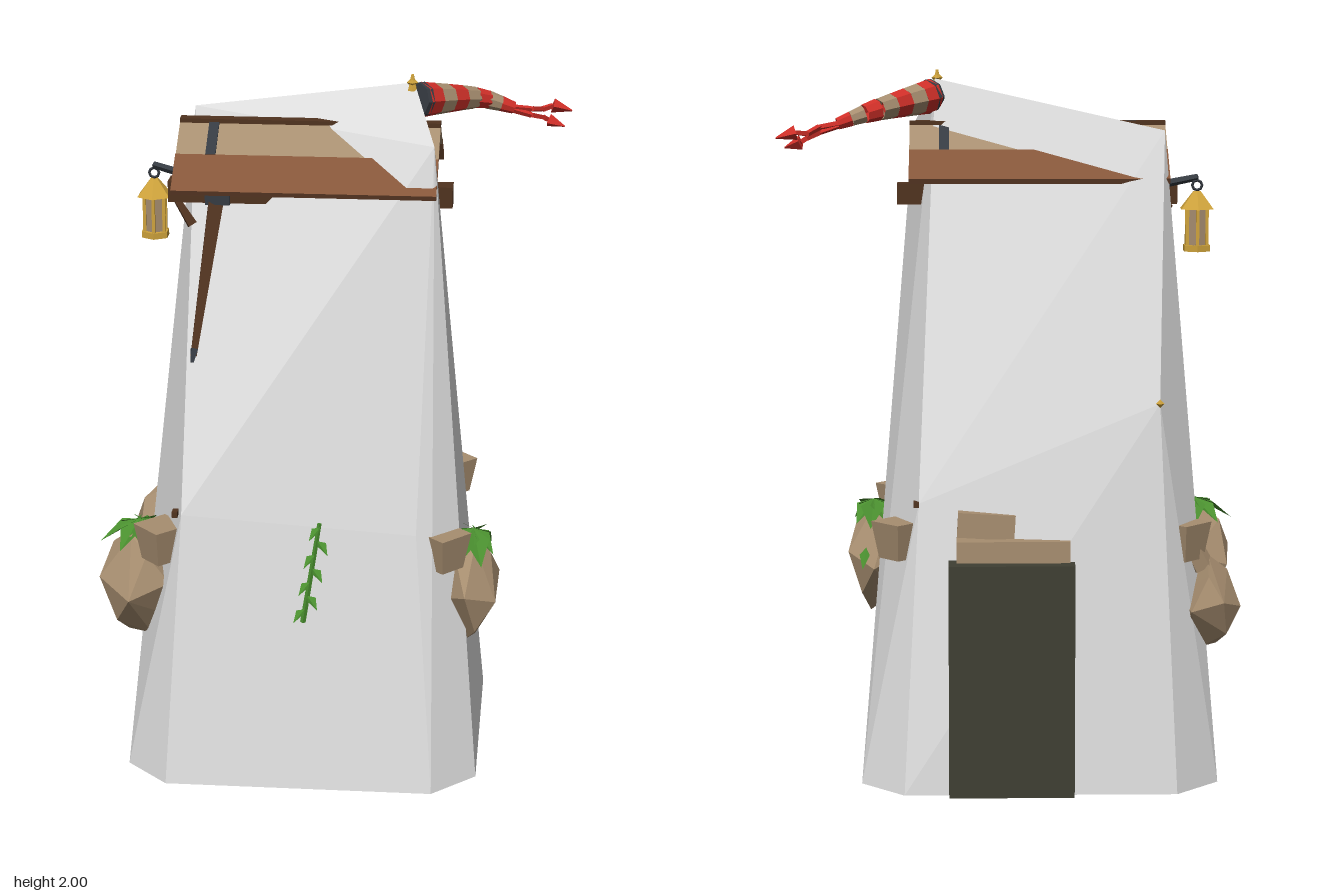
import * as THREE from 'three';
import { ConvexGeometry } from 'three/addons/geometries/ConvexGeometry.js';

const V = (x, y, z) => new THREE.Vector3(x, y, z);
const paint = (name, color, side = THREE.FrontSide) => {
  const m = new THREE.MeshStandardMaterial({ color, side, flatShading: true });
  m.name = name;
  return m;
};

export function createModel() {
  const root = new THREE.Group();
  root.name = 'tower';
  const stone = paint('paleStone', 0xe0e0e0);
  const tan = paint('tan', 0xa78e70);
  const brown = paint('roofBrown', 0x85563a);
  const dark = paint('darkWood', 0x50331f);
  const iron = paint('iron', 0x363b42);
  const gold = paint('gold', 0xcfa33c);
  const red = paint('red', 0xcf2f28, THREE.DoubleSide);
  const cloth = paint('clothTan', 0xa78e70, THREE.DoubleSide);
  const green = paint('leafGreen', 0x4a8f2f, THREE.DoubleSide);
  const olive = paint('darkOlive', 0x3f3f33);

  const add = (name, geo, mat, x = 0, y = 0, z = 0, parent = root) => {
    const m = new THREE.Mesh(geo, mat);
    m.name = name;
    m.position.set(x, y, z);
    parent.add(m);
    return m;
  };
  const box = (name, w, h, d, mat, x, y, z) => add(name, new THREE.BoxGeometry(w, h, d), mat, x, y, z);
  // Tapered rod from p to q
  const rod = (name, p, q, r1, r2, sides, mat, open = false) => {
    const d = q.clone().sub(p);
    const m = add(name, new THREE.CylinderGeometry(r2, r1, d.length(), sides, 1, open), mat);
    m.position.copy(p).addScaledVector(d, 0.5);
    m.quaternion.setFromUnitVectors(V(0, 1, 0), d.normalize());
    return m;
  };

  // Faceted tower body: chamfered base, shoulder corners, leaning crest
  const base = [[-0.454, 0.453], [0.31, 0.453], [0.433, 0.335], [0.433, -0.305],
    [0.31, -0.425], [-0.454, -0.425], [-0.577, -0.305], [-0.577, 0.335]];
  add('towerBody', new ConvexGeometry([
    ...base.map(([x, z]) => V(x, 0, z)),
    V(-0.405, 0.8, 0.367), V(0.255, 0.76, 0.366),
    V(0.268, 0.81, -0.315), V(-0.4, 1.1, -0.376),
    V(-0.42, 1.84, -0.19), V(0.22, 1.975, 0.04), V(0.285, 1.835, 0.2),
  ]), stone);

  // Gable roof: an upper and a lower plank on each slope, plus iron straps
  const slope = Math.atan2(0.15, 0.22), len = Math.hypot(0.15, 0.22);
  for (const s of [1, -1]) {
    const plank = (name, w, t, from, to, mat, x, lift) => {
      const mid = (from + to) / 2;
      const m = box(name, w, t, len * (to - from), mat, x,
        1.85 - 0.15 * mid + lift, 0.015 + s * 0.222 * mid);
      m.rotation.x = s * slope;
    };
    plank('upperRoofPlank', 0.728, 0.01, 0, 0.54, tan, -0.071, -0.004);
    plank('lowerRoofPlank', 0.728, 0.018, 0.5, 1, brown, -0.071, 0);
    for (const x of [-0.338, 0.195]) plank('roofStrap', 0.028, 0.008, 0, 0.5, iron, x, 0.004);
  }
  box('roofRidge', 0.728, 0.012, 0.036, dark, -0.071, 1.851, 0.012);

  // Cross beam, its bracket and the slanting brace
  box('crossBeam', 0.8, 0.06, 0.06, dark, -0.07, 1.65, 0.02);
  box('beamBracket', 0.07, 0.072, 0.074, iron, -0.33, 1.652, 0.02);
  const brace = rod('brace', V(-0.335, 1.63, 0.03), V(-0.387, 1.21, 0.185), 0.03, 0.012, 4, dark);
  rod('braceTip', V(-0.385, 1.23, 0.178), V(-0.39, 1.195, 0.195), 0.014, 0.006, 4, iron);
  rod('sideBrace', V(-0.45, 1.62, 0.02), V(-0.405, 1.55, 0.03), 0.012, 0.018, 4, dark);

  // Hanging lantern
  rod('lanternArm', V(-0.41, 1.675, -0.025), V(-0.525, 1.7, -0.05), 0.012, 0.01, 4, iron);
  const lantern = new THREE.Group();
  lantern.name = 'lantern';
  lantern.position.set(-0.523, 0, -0.05);
  root.add(lantern);
  const ring = (name, r1, r2, y0, y1, mat) =>
    add(name, new THREE.CylinderGeometry(r2, r1, y1 - y0, 6), mat, 0, (y0 + y1) / 2, 0, lantern);
  ring('lanternBase', 0.042, 0.042, 1.49, 1.508, gold);
  ring('lanternGlass', 0.029, 0.029, 1.508, 1.612, tan);
  ring('lanternRoof', 0.053, 0.012, 1.61, 1.66, gold);
  for (let i = 0; i < 6; i++) {
    const a = i * Math.PI / 3;
    add('lanternBar', new THREE.BoxGeometry(0.009, 0.104, 0.009), gold,
      0.032 * Math.sin(a), 1.56, 0.032 * Math.cos(a), lantern);
  }
  add('lanternRing', new THREE.TorusGeometry(0.014, 0.004, 4, 8), iron, 0, 1.677, 0, lantern);

  // Finial and striped windsock with two tails
  rod('finial', V(0.215, 1.955, 0.05), V(0.215, 2, 0.05), 0.014, 0.004, 6, gold);
  add('finialKnob', new THREE.OctahedronGeometry(0.016), gold, 0.215, 1.977, 0.05);
  const sock = new THREE.CatmullRomCurve3([V(0.235, 1.925, 0.035), V(0.32, 1.908, -0.06),
    V(0.405, 1.888, -0.145), V(0.49, 1.858, -0.168)]);
  const bands = 7, radius = i => 0.05 - 0.033 * i / bands;
  for (let i = 0; i < bands; i++) {
    rod('windsockBand', sock.getPoint(i / bands), sock.getPoint((i + 1) / bands),
      radius(i), radius(i + 1), 8, i % 2 ? cloth : red, true);
  }
  rod('windsockMouth', V(0.228, 1.927, 0.042), sock.getPoint(0.03), 0.048, 0.05, 8, iron);
  const tails = [
    [V(0.48, 1.86, -0.165), V(0.54, 1.85, -0.19), V(0.57, 1.835, -0.25), V(0.6, 1.84, -0.275), V(0.655, 1.825, -0.28)],
    [V(0.48, 1.855, -0.165), V(0.54, 1.835, -0.18), V(0.575, 1.82, -0.215), V(0.59, 1.81, -0.225), V(0.635, 1.795, -0.215)],
  ];
  for (const t of tails) {
    for (let i = 0; i < 3; i++) rod('windsockTail', t[i], t[i + 1], 0.009, 0.008, 4, red);
    rod('windsockTailTip', t[3], t[4], 0.021, 0.002, 4, red);
  }

  // Tapered corner brackets and pegs
  for (const [x, y, z, turn] of [[0.33, 0.7, 0.315, 0.8], [-0.47, 0.7, 0.325, -0.8],
    [0.325, 0.7, -0.27, -0.8], [-0.475, 0.7, -0.295, 0.8]]) {
    const g = new THREE.CylinderGeometry(0.078, 0.056, 0.105, 4).rotateY(Math.PI / 4);
    add('cornerBracket', g, tan, x, y, z).rotation.y = turn;
  }
  for (const [x, y, z] of [[-0.423, 0.803, 0.36], [0.275, 0.807, -0.305]])
    box('peg', 0.016, 0.016, 0.03, dark, x, y, z);
  add('shoulderPeg', new THREE.OctahedronGeometry(0.012), gold, -0.4, 1.1, -0.376);

  // Hanging boulders: ring-based rocks with a blunt tip
  const boulder = (x, y, z, sx, sy, sz, turn) => {
    const pts = [V(0.1, 1, 0), V(-0.25, 0.85, 0.2), V(0.2, -1, 0.2), V(-0.3, -0.95, -0.1)];
    for (let i = 0; i < 6; i++) {
      const a = i * Math.PI / 3;
      pts.push(V(Math.cos(a), i % 2 ? 0.12 : -0.1, Math.sin(a)));
      if (i % 2) pts.push(V(0.65 * Math.cos(a + 0.5), 0.62, 0.65 * Math.sin(a + 0.5)),
        V(0.72 * Math.cos(a - 0.4), -0.62, 0.72 * Math.sin(a - 0.4)));
    }
    const geo = new ConvexGeometry(pts).rotateY(turn).scale(sx, sy, sz);
    add('boulder', geo, tan, x, y, z);
  };
  boulder(-0.545, 0.55, 0.235, 0.12, 0.17, 0.145, 0.4);
  boulder(0.4, 0.555, 0.22, 0.095, 0.165, 0.15, 1.5);
  boulder(-0.55, 0.52, -0.265, 0.09, 0.135, 0.12, 0.9);
  rod('boulderNeck', V(-0.53, 0.62, -0.275), V(-0.49, 0.7, -0.29), 0.035, 0.03, 5, tan);

  // Leaves: folded diamonds, draped over the front boulders
  const leaf = (p, tip, width) => {
    const d = tip.clone().sub(p);
    const side = V(d.z, 0, -d.x);
    if (side.length() < 1e-3) side.set(1, 0, 0);
    side.setLength(width);
    const mid = p.clone().addScaledVector(d, 0.45);
    mid.y += width * 0.5;
    const geo = new THREE.BufferGeometry().setFromPoints([p, mid.clone().sub(side), tip, mid.clone().add(side)]);
    geo.setIndex([0, 1, 2, 0, 2, 3]);
    geo.computeVertexNormals();
    add('leaf', geo, green);
  };
  for (const [cx, cy, cz, reach, rx] of [[-0.545, 0.725, 0.22, 0.135, 0.85], [0.41, 0.725, 0.21, 0.14, 0.55]]) {
    for (let i = 0; i < 7; i++) {
      const a = i * Math.PI * 2 / 7 + 0.3, r = reach * (i % 2 ? 1 : 0.8);
      leaf(V(cx, cy, cz), V(cx + r * rx * Math.cos(a), cy - 0.065, cz + r * Math.sin(a)), 0.035);
    }
  }
  leaf(V(0.43, 0.6, 0.09), V(0.44, 0.54, 0.06), 0.016);
  leaf(V(-0.53, 0.6, 0.02), V(-0.54, 0.55, 0.03), 0.016);

  // Climbing vine on the front wall
  const wall = y => 0.455 - 0.11 * y;
  rod('vineStem', V(-0.06, 0.5, wall(0.5)), V(-0.015, 0.79, wall(0.79)), 0.008, 0.006, 4, green);
  for (let i = 0; i < 7; i++) {
    const y = 0.53 + i * 0.04, s = i % 2 ? 1 : -1, x = -0.055 + i * 0.007;
    const v = leaf;
    v(V(x, y + 0.01, wall(y) + 0.004), V(x + s * 0.03, y - 0.025, wall(y) + 0.025), 0.018);
  }

  // Back door with stacked lintels
  box('backDoor', 0.35, 0.66, 0.085, olive, 0.01, 0.33, -0.412);
  box('lowerLintel', 0.315, 0.06, 0.07, tan, 0.005, 0.69, -0.377);
  box('upperLintel', 0.16, 0.07, 0.06, tan, 0.08, 0.755, -0.342).rotation.z = 0.06;

  return root;
}
